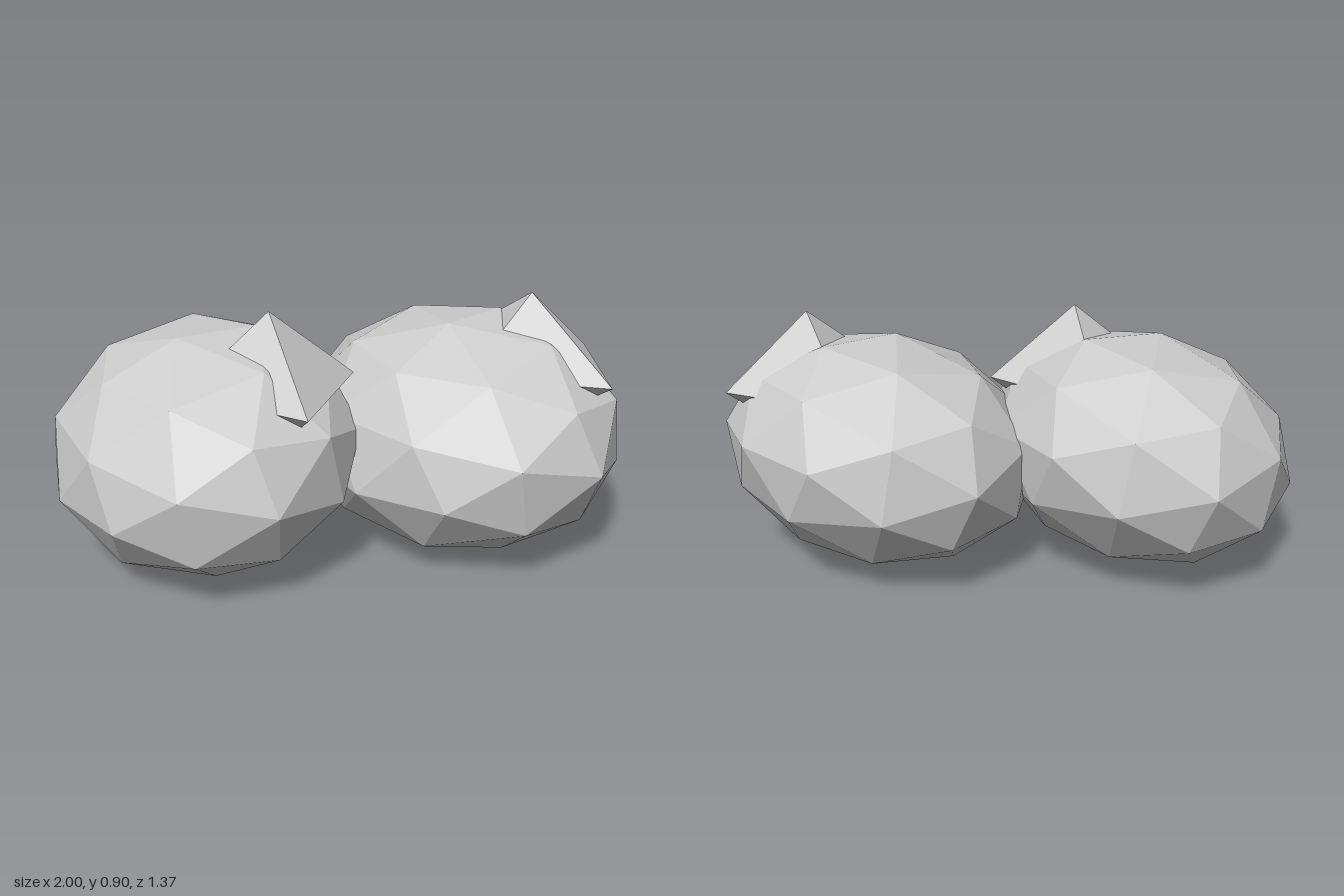
import * as THREE from 'three';

const deg = THREE.MathUtils.degToRad;

export function createModel() {
  const model = new THREE.Group();
  model.name = 'rockPair';
  const stone = new THREE.MeshStandardMaterial({ color: 0xcccccc, flatShading: true });
  stone.name = 'stone grey';

  // Faceted boulder: a flattened icosphere
  const boulderGeometry = new THREE.IcosahedronGeometry(1, 1);
  boulderGeometry.scale(0.545, 0.413, 0.63);
  boulderGeometry.computeVertexNormals();

  // Pointed shard: a stretched octahedron half sunk into the boulder
  const shardGeometry = new THREE.OctahedronGeometry(1, 0);
  shardGeometry.scale(0.31, 0.255, 0.39).rotateY(deg(1));
  shardGeometry.translate(0.208, 0.24, 0.14);
  shardGeometry.computeVertexNormals();

  // The same rock is placed twice, turned and tipped a little differently
  function addRock(side, x, z, turn, lean, tilt) {
    const rock = new THREE.Group();
    rock.name = side + 'Rock';
    const boulder = new THREE.Mesh(boulderGeometry, stone);
    boulder.name = side + 'Boulder';
    boulder.rotation.set(lean, deg(8), tilt, 'YXZ');
    const shard = new THREE.Mesh(shardGeometry, stone);
    shard.name = side + 'Shard';
    rock.add(boulder, shard);
    rock.position.set(x, 0.405, z);
    rock.rotation.y = deg(turn);
    model.add(rock);
  }
  addRock('right', -0.475, -0.065, 0, 0.06, 0.225);
  addRock('left', 0.445, 0.09, 17, 0.03, 0.21);

  return model;
}
